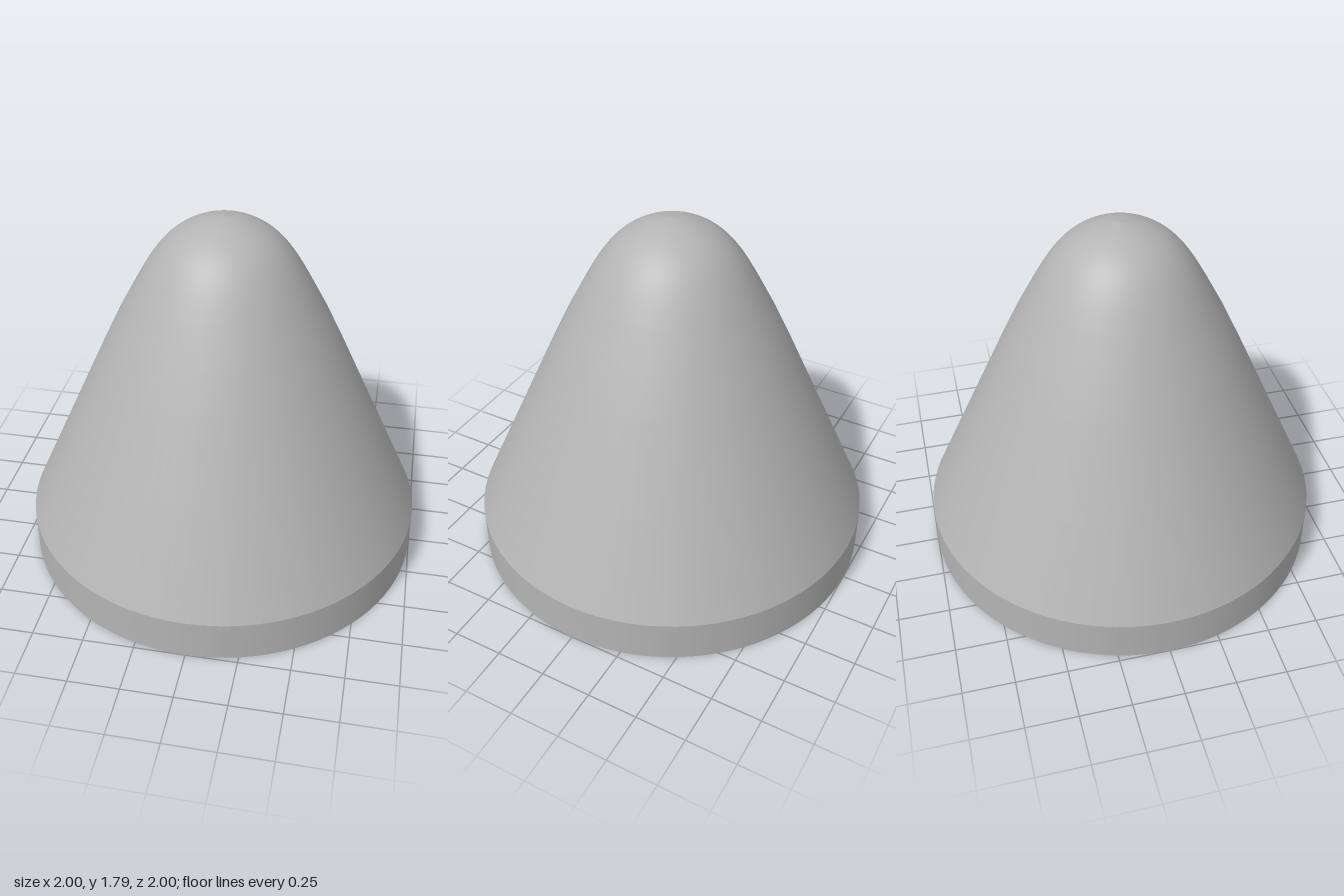
import * as THREE from 'three';
import { toCreasedNormals } from 'three/addons/utils/BufferGeometryUtils.js';

const rad = THREE.MathUtils.degToRad;
const pts = (list) => list.map(([x, y]) => new THREE.Vector2(x, y));

export function createModel() {
  const model = new THREE.Group();
  const grey = new THREE.MeshStandardMaterial({ color: 0xb4b4b4, side: THREE.DoubleSide });
  grey.name = 'plain grey';

  const add = (name, geometry, parent = model) => {
    const mesh = new THREE.Mesh(geometry, grey);
    mesh.name = name;
    parent.add(mesh);
    return mesh;
  };
  const lathe = (profile, segments, start = 0, sweep = 360) =>
    new THREE.LatheGeometry(pts(profile), segments, rad(start), rad(sweep));

  // Outer skin: straight collar, then a cone that rounds over at the nose
  add('collar', lathe([[1, 0], [1, 0.21]], 96));
  const nose = new THREE.SplineCurve(pts([
    [0.42, 1.45], [0.35, 1.57], [0.28, 1.66], [0.2, 1.725], [0.1, 1.77], [0, 1.79],
  ])).getPoints(25).map((p) => [Math.max(p.x, 0), p.y]);
  add('cone', lathe([[1, 0.21], [0.8, 0.65], [0.6, 1.09], [0.51, 1.28], ...nose], 96));

  // Hollow inside: conical roof, straight bore and ledge
  add('bore', toCreasedNormals(
    lathe([[0, 1.32], [0.66, 0.8], [0.66, 0.21], [0.78, 0.21]], 96), rad(30)));

  // Bottom rim and socket wall, alternating with three entry notches
  const wall = [[0.78, 0.21], [0.78, 0.04], [0.84, 0], [1, 0]];
  const notch = [[0.78, 0.21], [0.9, 0.21], [0.9, 0], [1, 0]];
  const cheek = new THREE.ShapeGeometry(new THREE.Shape(
    pts([[0.84, 0], [0.9, 0], [0.9, 0.21], [0.78, 0.21], [0.78, 0.04]])));
  const tab = [[0.785, 0.17], [0.69, 0.14], [0.69, 0.075], [0.725, 0.075], [0.785, 0.02]];
  const tabEnd = new THREE.ShapeGeometry(new THREE.Shape(pts(tab)));
  const notchSweep = 21;

  const socket = new THREE.Group();
  socket.name = 'socket';
  model.add(socket);
  for (let i = 0; i < 3; i++) {
    const start = -155 + i * 120;
    const end = start + notchSweep;
    add('entryNotch', toCreasedNormals(lathe(notch, 6, start, notchSweep), rad(30)), socket);
    add('socketWall', toCreasedNormals(lathe(wall, 27, end, 120 - notchSweep), rad(30)), socket);
    for (const angle of [start, end]) {
      add('notchSide', cheek, socket).rotation.y = rad(angle - 90);
    }

    // Locking tab beside each notch
    const tabStart = start - 20;
    const tabSweep = 18;
    add('lockingTab', toCreasedNormals(lathe(tab, 6, tabStart, tabSweep), rad(25)), socket);
    for (const angle of [tabStart, tabStart + tabSweep]) {
      add('tabEnd', tabEnd, socket).rotation.y = rad(angle - 90);
    }
  }
  return model;
}
